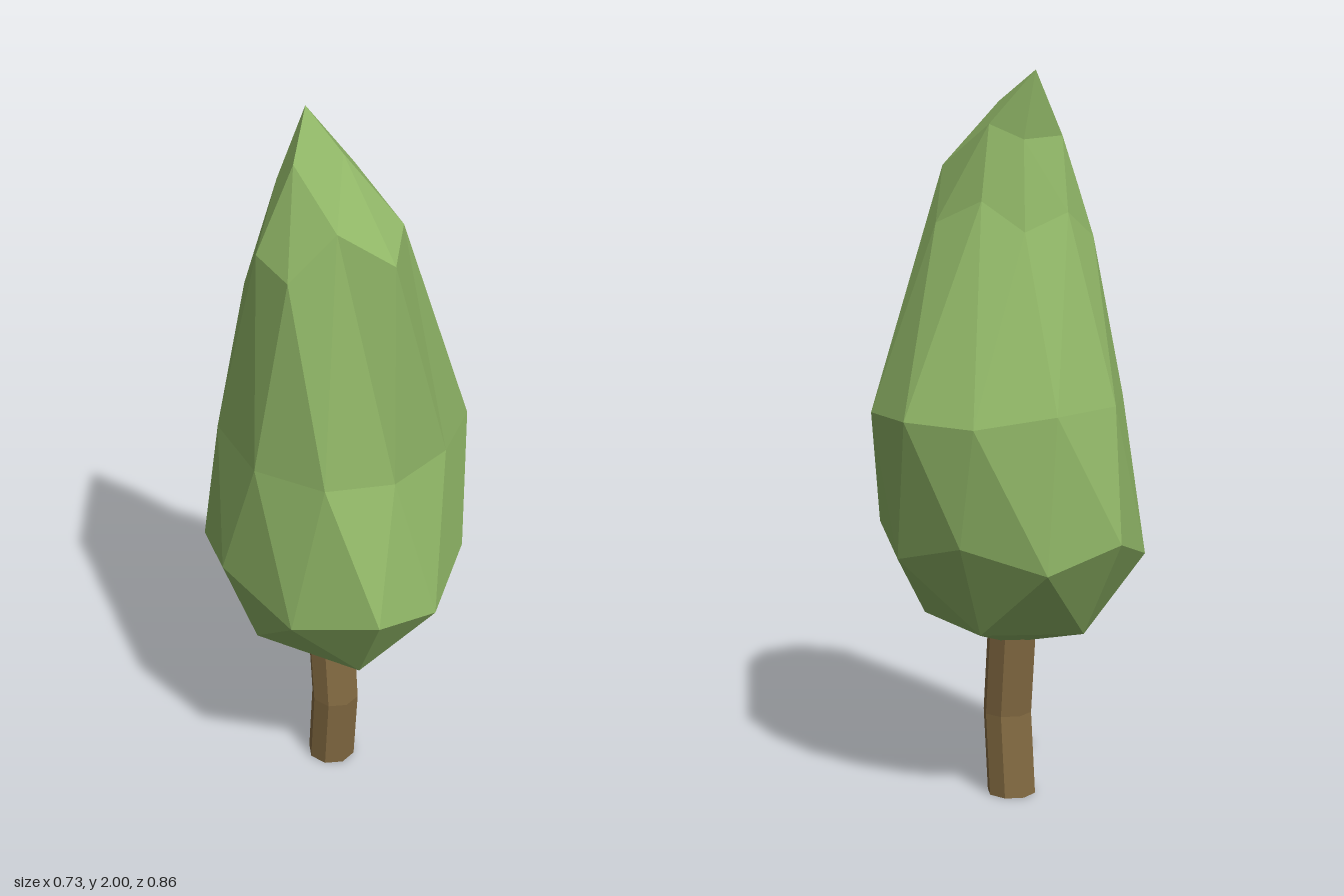
import * as THREE from 'three';

// Non-indexed geometry from corner triples, so every facet stays flat
function facets(tris) {
  const g = new THREE.BufferGeometry();
  g.setAttribute('position', new THREE.Float32BufferAttribute(tris.flat(2), 3));
  g.computeVertexNormals();
  return g;
}

// Crown: a once-subdivided icosahedron, pulled into a leaning teardrop
function crownGeometry() {
  const base = [-0.03, 0.43, 0], tip = [-0.035, 2, -0.13];
  const under = [
    [-0.27, 0.51, -0.01], [-0.1, 0.51, 0.27], [0.16, 0.51, 0.14],
    [0.15, 0.51, -0.16], [-0.1, 0.51, -0.28]];
  const belly = [
    [-0.365, 0.77, -0.02], [-0.3, 0.71, 0.255], [-0.13, 0.76, 0.427], [0.075, 0.71, 0.375],
    [0.265, 0.77, 0.205], [0.32, 0.71, -0.01], [0.25, 0.77, -0.23], [0.08, 0.71, -0.39],
    [-0.12, 0.78, -0.43], [-0.295, 0.71, -0.28]];
  const waist = [
    [-0.32, 1.13, 0.1], [-0.21, 1.13, 0.28], [-0.01, 1.1, 0.295], [0.205, 1.09, 0.2],
    [0.355, 1.1, 0.07], [0.36, 1.1, -0.13], [0.24, 1.09, -0.285], [0.04, 1.12, -0.37],
    [-0.16, 1.13, -0.335], [-0.3, 1.13, -0.155]];
  const shoulder = [
    [-0.25, 1.69, 0], [-0.24, 1.67, 0.15], [-0.12, 1.79, 0.185], [0.01, 1.7, 0.25],
    [0.1, 1.75, 0.135], [0.17, 1.6, 0.045], [0.1, 1.66, -0.08], [0.02, 1.58, -0.17],
    [-0.115, 1.63, -0.165], [-0.23, 1.56, -0.11]];
  const crest = [
    [-0.13, 1.9, -0.02], [-0.01, 1.92, 0.02], [0.06, 1.86, -0.05],
    [-0.01, 1.82, -0.112], [-0.13, 1.83, -0.11]];

  const tris = [];
  for (let k = 0; k < 5; k++) {
    const n = (k + 1) % 5, j = 2 * k, m = j + 1;
    const next = (m + 1) % 10, prev = (j + 9) % 10;
    // bottom cap
    tris.push([base, under[n], under[k]],
      [under[k], belly[m], belly[j]],
      [under[k], belly[j], belly[prev]],
      [under[k], under[n], belly[m]]);
    // top cap
    tris.push([crest[k], crest[n], tip],
      [shoulder[m], shoulder[next], crest[k]],
      [shoulder[j], shoulder[m], crest[k]],
      [shoulder[next], crest[n], crest[k]]);
  }
  // zigzag side bands
  for (let j = 0; j < 10; j++) {
    const n = (j + 1) % 10;
    tris.push([belly[j], belly[n], waist[j]],
      [belly[n], waist[n], waist[j]],
      [waist[j], shoulder[n], shoulder[j]],
      [waist[j], waist[n], shoulder[n]]);
  }
  // the under-belly fan is listed right to left, so turn its faces outward
  const centre = new THREE.Vector3(-0.03, 0.9, 0);
  return facets(tris.map((t) => {
    const [a, b, c] = t.map((p) => new THREE.Vector3(...p));
    const normal = b.clone().sub(a).cross(c.clone().sub(a));
    const low = Math.max(a.y, b.y, c.y) < 0.8;
    return low && normal.dot(a.sub(centre)) < 0 ? [t[0], t[2], t[1]] : t;
  }));
}

// Trunk: eight-sided post in two segments, bowed forward at the middle
function trunkGeometry() {
  const g = new THREE.CylinderGeometry(0.069, 0.069, 0.46, 8, 2);
  g.translate(-0.032, 0.23, -0.012);
  const p = g.attributes.position;
  for (let i = 0; i < p.count; i++) {
    const y = p.getY(i);
    if (y > 0.1 && y < 0.4) p.setZ(i, p.getZ(i) + 0.023);
  }
  g.computeVertexNormals();
  return g;
}

export function createModel() {
  const leaf = new THREE.MeshStandardMaterial({ color: 0x8fb566 });
  leaf.name = 'leaf green';
  leaf.flatShading = true;
  const bark = new THREE.MeshStandardMaterial({ color: 0x846b42 });
  bark.name = 'bark brown';
  bark.flatShading = true;

  const tree = new THREE.Group();
  tree.name = 'tree';
  const crown = new THREE.Mesh(crownGeometry(), leaf);
  crown.name = 'crown';
  const trunk = new THREE.Mesh(trunkGeometry(), bark);
  trunk.name = 'trunk';
  tree.add(crown, trunk);
  return tree;
}
